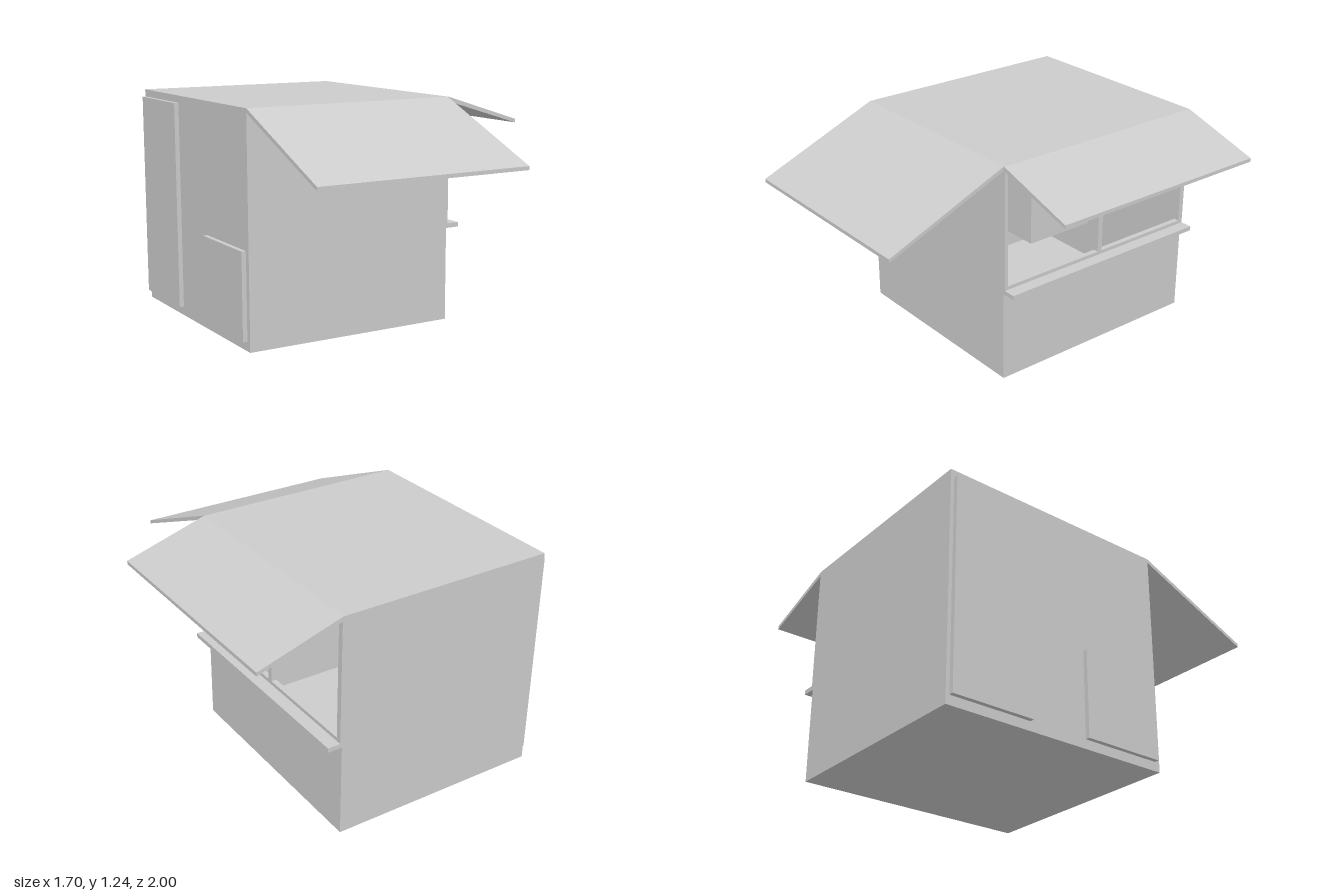
import * as THREE from 'three';

export function createModel() {
  const kiosk = new THREE.Group();
  kiosk.name = 'kiosk';
  const material = new THREE.MeshStandardMaterial({ color: 0xcccccc, flatShading: true });

  function add(name, geometry) {
    const mesh = new THREE.Mesh(geometry, material);
    mesh.name = name;
    kiosk.add(mesh);
    return mesh;
  }

  // Box given by its minimum and maximum on each axis
  function box(name, x0, x1, y0, y1, z0, z1) {
    const g = new THREE.BoxGeometry(x1 - x0, y1 - y0, z1 - z0);
    g.translate((x0 + x1) / 2, (y0 + y1) / 2, (z0 + z1) / 2);
    return add(name, g);
  }

  // Sloping slab: profile of [outward, up] corners, extruded along its width
  function slab(points, width) {
    const shape = new THREE.Shape(points.map(([a, b]) => new THREE.Vector2(a, b)));
    return new THREE.ExtrudeGeometry(shape, { depth: width, bevelEnabled: false });
  }

  const L = -0.825, R = 0.38, B = -1, F = 0.31, H = 1.235, T = 0.02;

  // Hollow shell
  box('floor', L, R, 0, T, B, F);
  box('roof', L, R, H - T, H, B, F);
  box('frontWall', L, R, T, H - T, F - T, F);
  box('backWall', L, R, T, H - T, B, B + T);
  box('sideWall', L, L + T, T, H - T, B + T, F - T);
  box('counterWall', R - T, R, T, 0.49, B + T, F - T);

  // Serving hatch frame and counter
  box('lowerRail', R - T, R, 0.49, 0.515, B, F);
  box('sillRail', R - T, R + 0.01, 0.54, 0.56, B, F);
  box('counter', R - T, 0.46, 0.515, 0.54, B, F);
  for (const [z0, z1] of [[B, -0.97], [-0.37, -0.34], [0.29, F]]) {
    box('hatchPost', R - T, R + 0.01, 0.56, H - T, z0, z1);
  }

  // Raised awning over the counter
  const side = slab([[R, H - 0.023], [0.845, 1.07], [0.845, 1.09], [R + 0.006, H], [R, H]], F - B);
  side.translate(0, 0, B);
  add('sideAwning', side);

  // Awning over the front wall
  const front = slab([[F, H - 0.023], [1, 0.925], [1, 0.945], [F, H]], R - L);
  front.rotateY(-Math.PI / 2);
  front.translate(R, 0, 0);
  add('frontAwning', front);

  // Door and low hatch on the closed side
  box('door', L - 0.025, L, 0.05, 1.195, -0.98, -0.52);
  box('lowHatch', L - 0.025, L, 0.05, 0.52, -0.18, 0.28);

  // Tall cabinet in the inner back corner
  box('cabinet', L + T, -0.38, 0.25, H - T, B + T, -0.51);

  return kiosk;
}
